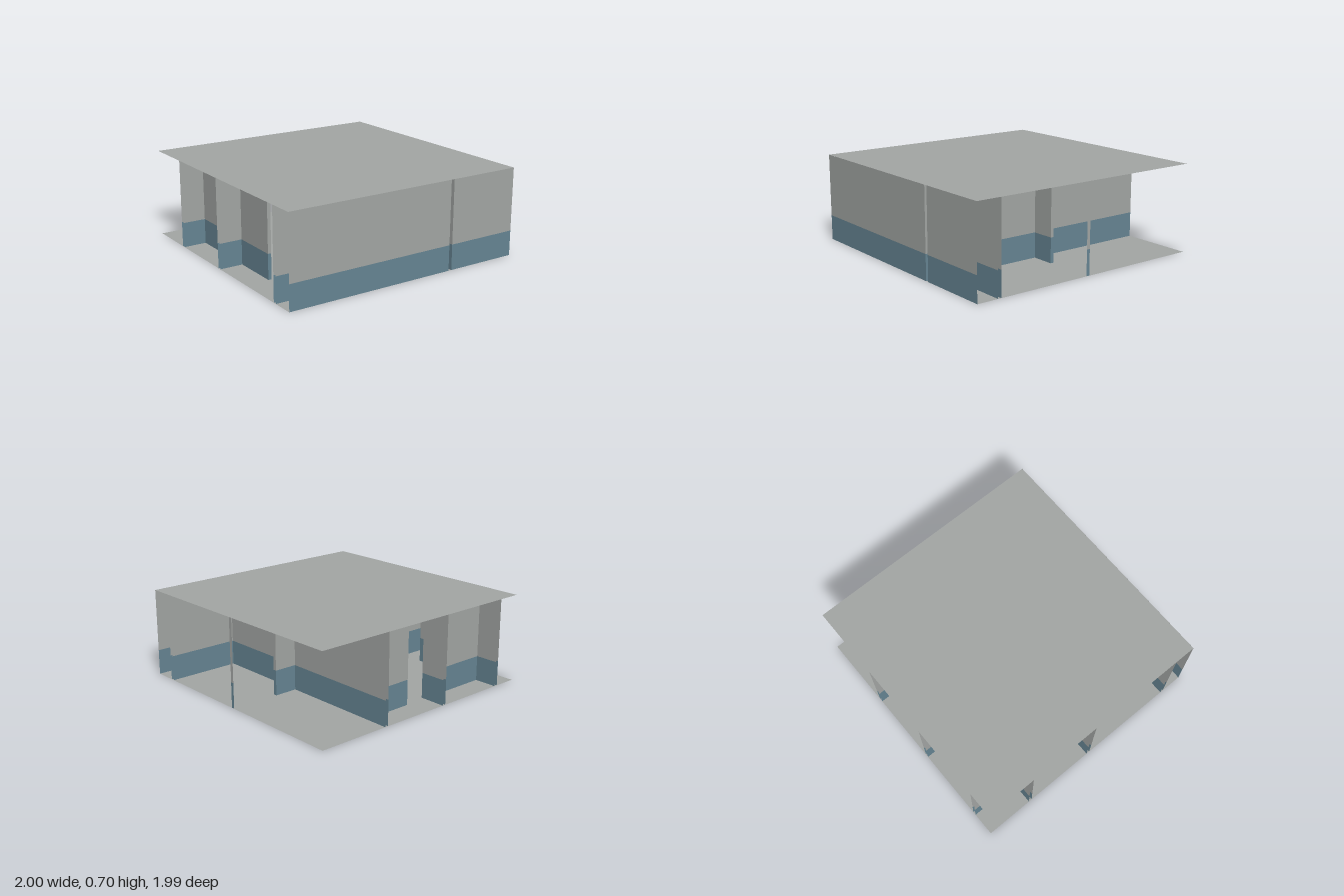
import * as THREE from 'three';

const T = 0.0135;            // half the wall thickness
const SHIFT = 0.007;         // centres the plan in z
const HEIGHT = 0.7, DADO = 0.2;

export function createModel() {
  const model = new THREE.Group();
  model.name = 'roomTile';
  const plaster = new THREE.MeshStandardMaterial({ name: 'greyPlaster', color: 0xa3a6a4, side: THREE.DoubleSide });
  const paint = new THREE.MeshStandardMaterial({ name: 'bluePaint', color: 0x668593, side: THREE.DoubleSide });

  // One upright sheet from (x1,z1) to (x2,z2): blue below, grey above
  function sheet(parent, x1, z1, x2, z2) {
    const bands = [['lowerBand', 0, DADO, paint], ['upperBand', DADO, HEIGHT, plaster]];
    for (const [name, y0, y1, material] of bands) {
      const geo = new THREE.PlaneGeometry(Math.hypot(x2 - x1, z2 - z1), y1 - y0);
      const mesh = new THREE.Mesh(geo, material);
      mesh.name = name;
      mesh.position.set((x1 + x2) / 2, (y0 + y1) / 2, (z1 + z2) / 2 + SHIFT);
      mesh.rotation.y = -Math.atan2(z2 - z1, x2 - x1);
      parent.add(mesh);
    }
  }

  // Hollow wall along an axis: two sheets, with jambs closing the chosen ends
  function wall(name, axis, at, from, to, jambs = []) {
    const group = new THREE.Group();
    group.name = name;
    const put = (a, s, b, t) => axis === 'x' ? sheet(group, a, s, b, t) : sheet(group, s, a, t, b);
    if (to > from) for (const side of [-T, T]) put(from, at + side, to, at + side);
    for (const end of jambs) put(end, at - T, end, at + T);
    model.add(group);
  }

  // Floor and ceiling
  for (const [name, y] of [['floor', 0], ['ceiling', HEIGHT]]) {
    const slab = new THREE.Mesh(new THREE.PlaneGeometry(2, 2 - T), plaster);
    slab.name = name;
    slab.rotation.x = -Math.PI / 2;
    slab.position.y = y;
    model.add(slab);
  }

  // Front wall, a single skin split by the long partition
  const front = new THREE.Group();
  front.name = 'frontWall';
  sheet(front, -1, 1 - T, 0.4 - T, 1 - T);
  sheet(front, 0.4 + T, 1 - T, 1, 1 - T);
  model.add(front);

  // Walls running front to back
  wall('longPartition', 'z', 0.4, -1, 1 - T);
  wall('backStubWall', 'z', -0.2, -1, -0.8 + T);
  wall('sideWallBack', 'z', -0.8, -1, -0.2, [-0.2]);
  wall('sideWallMiddle', 'z', -0.8, -T, 0.4, [-T, 0.4]);
  wall('sideWallFront', 'z', -0.8, 0.6, 0.8 - T, [0.6]);

  // Walls running left to right
  wall('backWallRight', 'x', -0.8, -0.8 + T, -0.2 + T, [-0.2 + T]);
  wall('backWallLeft', 'x', -0.8, 0, 0.4 - T, [0]);
  wall('sideNookWall', 'x', -0.6, -1, -0.8 - T);
  wall('sideDividerWall', 'x', 0, -1, -0.8 - T);
  wall('innerDoorWall', 'x', 0, 0.4 + T, 0.6, [0.6]);
  wall('outerDoorJamb', 'x', 0, 1, 1, [0.998]);
  wall('corridorWallRight', 'x', 0.8, -1, 0.4 - T);
  wall('corridorWallLeft', 'x', 0.8, 0.4 + T, 1);

  return model;
}
